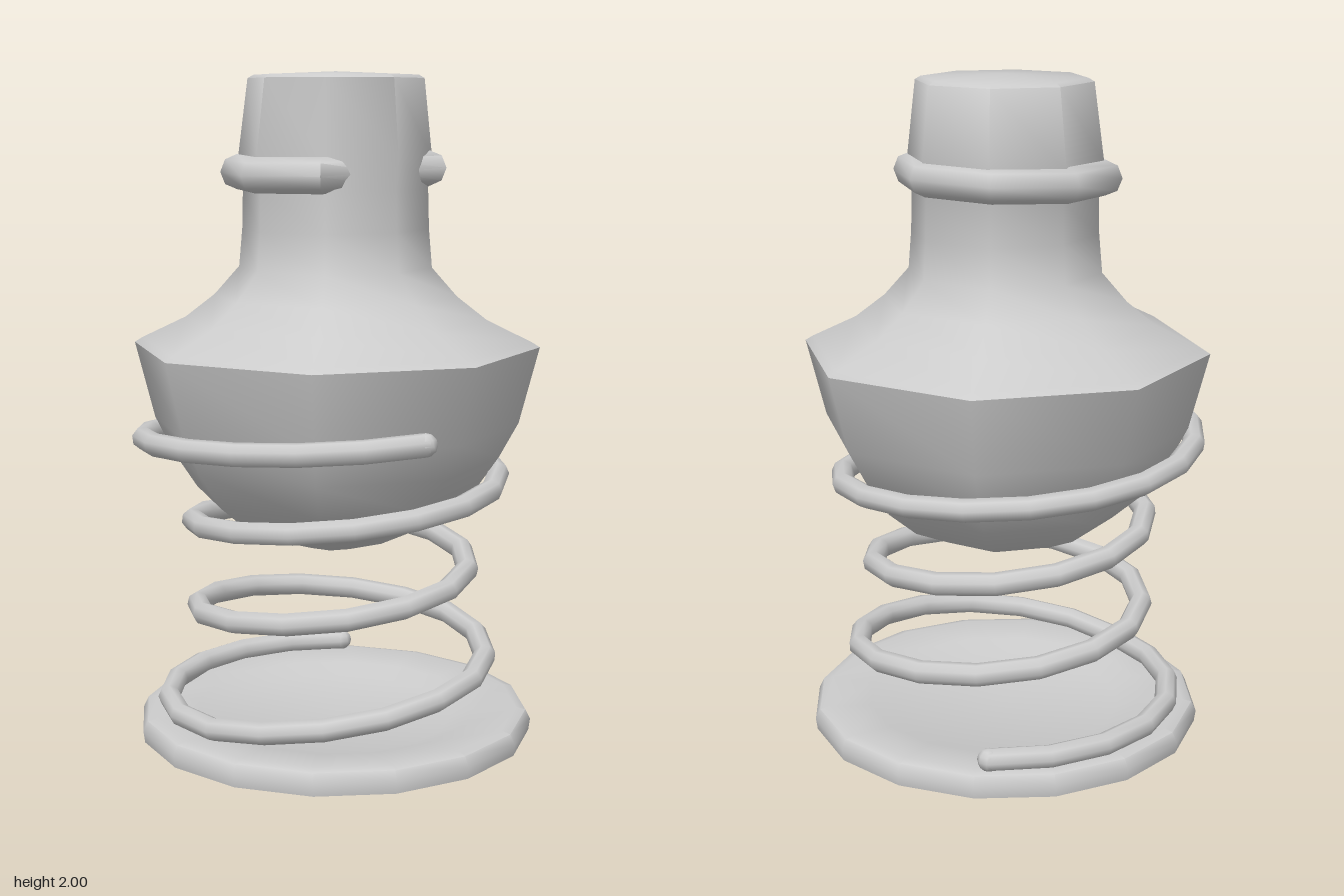
import * as THREE from 'three';
import { toCreasedNormals } from 'three/addons/utils/BufferGeometryUtils.js';

const material = new THREE.MeshStandardMaterial({ color: 0xcccccc, side: THREE.DoubleSide });

function part(name, geometry) {
  const mesh = new THREE.Mesh(geometry, material);
  mesh.name = name;
  return mesh;
}

// Lathe from rows of [radius, y, centreX, centreZ]; each row may sit off the axis
function offsetLathe(rows, sides, crease, adjust) {
  const geo = new THREE.LatheGeometry(rows.map(([r, y]) => new THREE.Vector2(r, y)), sides);
  const pos = geo.attributes.position;
  for (let i = 0; i < pos.count; i++) {
    const [, , cx = 0, cz = 0] = rows[i % rows.length];
    pos.setXYZ(i, pos.getX(i) + cx, pos.getY(i), pos.getZ(i) + cz);
    if (adjust) adjust(pos, i);
  }
  geo.deleteAttribute('uv');
  geo.deleteAttribute('normal');
  return toCreasedNormals(geo, crease);
}

// Coil whose radius and height are given at every quarter turn
class CoilCurve extends THREE.Curve {
  constructor(quarters, first, last) {
    super();
    Object.assign(this, { quarters, first, last });
  }
  getPoint(t, target = new THREE.Vector3()) {
    const q = THREE.MathUtils.lerp(this.first, this.last, t);
    const i = THREE.MathUtils.clamp(Math.floor(q), 0, this.quarters.length - 2);
    const f = q - i;
    const [r0, y0] = this.quarters[i];
    const [r1, y1] = this.quarters[i + 1];
    const r = r0 + (r1 - r0) * f;
    const a = q * Math.PI / 2; // 0 = back, then left side of the front view, then front
    return target.set(-Math.sin(a) * r, Math.max(0.1, y0 + (y1 - y0) * f), -Math.cos(a) * r);
  }
}

export function createModel() {
  const group = new THREE.Group();

  // Round base plate with a shallow dish
  group.add(part('basePlate', offsetLathe([
    [0, 0], [0.6, 0], [0.605, 0.035], [0.59, 0.065], [0.56, 0.072],
    [0.43, 0.06], [0.36, 0.035], [0, 0.03],
  ], 16, 0.9)));

  // Octagonal body: rounded bowl, sloping shoulder, neck and flared cap
  group.add(part('body', offsetLathe([
    [0, 0.56, 0, -0.01], [0.08, 0.572, 0, -0.01], [0.22, 0.615, 0.005, -0.01],
    [0.33, 0.665, 0.005, -0.01], [0.425, 0.745, 0.005, -0.01], [0.5, 0.855, 0.005, -0.01],
    [0.555, 0.96, 0.008, -0.01], [0.614, 1.19, 0.008, -0.01], [0.59, 1.205, 0.008, -0.01],
    [0.455, 1.27, 0.008, -0.01], [0.365, 1.34, 0.008, -0.01], [0.29, 1.425, 0.008, -0.01],
    [0.28, 1.54, 0.01, -0.012], [0.277, 1.66, 0.012, -0.015], [0.29, 1.75, 0.02, -0.027],
    [0.262, 1.98, 0.01, -0.01], [0.245, 1.99, 0.01, -0.01], [0, 2, 0.01, -0.01],
  ], 8, 0.95)));

  // Collar around the neck, its front corner sunk into the neck
  const collarRows = [];
  for (let i = 0; i <= 8; i++) {
    const a = i / 8 * Math.PI * 2;
    collarRows.push([0.288 + 0.05 * Math.cos(a), 1.712 + 0.052 * Math.sin(a), 0.007, -0.02]);
  }
  group.add(part('collar', offsetLathe(collarRows, 8, 1.2, (pos, i) => {
    const corner = Math.floor(i / collarRows.length) % 8;
    if (corner === 0) pos.setZ(i, pos.getZ(i) - 0.12);
    pos.setY(i, pos.getY(i) + 0.03 * pos.getX(i));
  })));

  // Spring: flat on the base, narrow at mid height, wide around the bowl
  const coil = new CoilCurve([
    [0.535, 0.1], [0.5, 0.1], [0.47, 0.2], [0.455, 0.28], [0.43, 0.35],
    [0.42, 0.41], [0.4, 0.48], [0.415, 0.55], [0.425, 0.62], [0.44, 0.685],
    [0.475, 0.755], [0.515, 0.82], [0.56, 0.88], [0.59, 0.945], [0.59, 0.995],
  ], -0.46, 13.84);
  const spring = new THREE.Group();
  spring.name = 'spring';
  spring.add(part('coil', new THREE.TubeGeometry(coil, 60, 0.034, 8, false)));
  for (const [name, t] of [['lowerTip', 0], ['upperTip', 1]]) {
    const tip = part(name, new THREE.SphereGeometry(0.034, 8, 6));
    tip.position.copy(coil.getPoint(t));
    spring.add(tip);
  }
  group.add(spring);

  return group;
}
